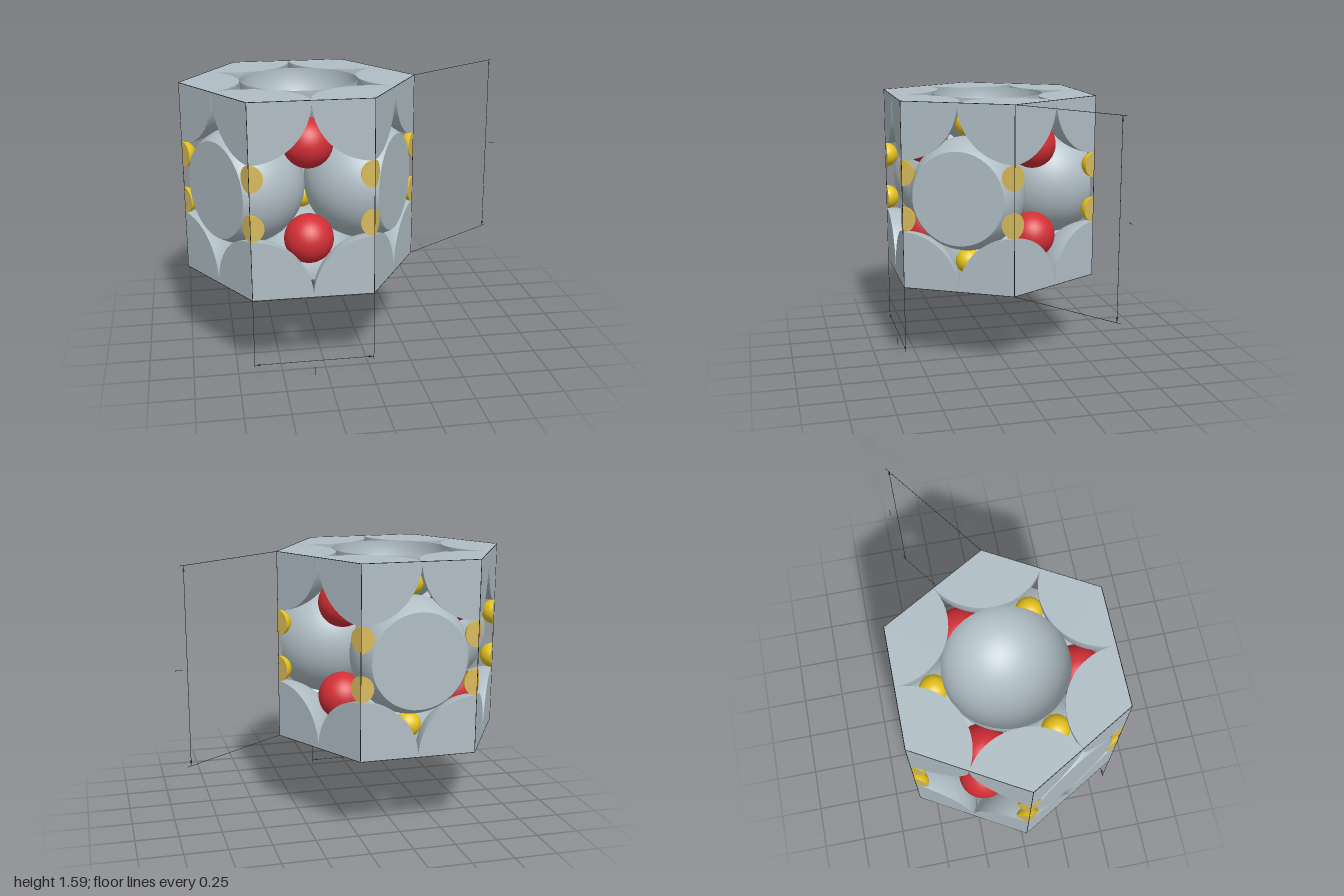
import * as THREE from 'three';

const A = 0.677;                    // hexagon side
const C = 1.105;                    // prism height
const R = A / 2;                    // large sphere radius
const APOTHEM = A * Math.sqrt(3) / 2;
const SITE = A / Math.sqrt(3);      // distance of the inner sites from the axis
const CX = -0.323, Y0 = 0.48;       // axis position and prism base
const PI = Math.PI;

function mat(name, color) {
  const m = new THREE.MeshStandardMaterial({ color, side: THREE.DoubleSide });
  m.name = name;
  return m;
}

export function createModel() {
  const grey = mat('blueGrey', 0xb0bec5);
  const red = mat('red', 0xd32f36);
  const yellow = mat('yellow', 0xe6c41c);
  const paleYellow = mat('paleYellow', 0xd9bb5c);
  const black = mat('black', 0x1c1c1c);

  const model = new THREE.Group();
  model.name = 'hexagonalCell';
  const cell = new THREE.Group();
  cell.name = 'cell';
  cell.position.set(CX, Y0, 0);
  model.add(cell);

  const add = (parent, name, geometry, material, x = 0, y = 0, z = 0) => {
    const mesh = new THREE.Mesh(geometry, material);
    mesh.name = name;
    mesh.position.set(x, y, z);
    parent.add(mesh);
    return mesh;
  };

  // Group turned about the cell axis; its local +x points outward
  const spoke = (name, degrees) => {
    const g = new THREE.Group();
    g.name = name;
    g.rotation.y = THREE.MathUtils.degToRad(degrees);
    cell.add(g);
    return g;
  };

  // 120 degree piece of a sphere opening towards the axis, with flat cut faces
  const wedge = (parent, name, r, y, t0, tLen, skin, cut) => {
    const g = new THREE.Group();
    g.name = name;
    g.position.set(A, y, 0);
    parent.add(g);
    add(g, name + 'Round', new THREE.SphereGeometry(r, 24, 24, -PI / 3, 2 * PI / 3, t0, tLen), skin);
    for (const s of [1, -1]) {
      const side = new THREE.CircleGeometry(r, 32, PI / 2 - t0 - tLen, tLen).rotateY(s * 2 * PI / 3);
      add(g, name + 'SideCut', side, cut);
    }
    if (tLen < PI) {
      const up = t0 > 0 ? -1 : 1;
      const flat = new THREE.CircleGeometry(r, 32, 2 * PI / 3, 2 * PI / 3).rotateX(up * PI / 2);
      add(g, name + 'EndCut', flat, cut);
    }
  };

  // Corners: large sphere wedges at both ends, small ones along the edges
  for (let i = 0; i < 6; i++) {
    const g = spoke('corner', i * 60);
    wedge(g, 'bottomCornerSphere', R, 0, 0, PI / 2, grey, grey);
    wedge(g, 'topCornerSphere', R, C, PI / 2, PI / 2, grey, grey);
    for (const f of [3 / 8, 5 / 8]) {
      wedge(g, 'smallEdgeSphere', R * 0.225, C * f, 0, PI, yellow, paleYellow);
    }
  }

  // Open hemispherical bowls in the middle of both ends
  add(cell, 'bottomBowl', new THREE.SphereGeometry(R, 48, 20, 0, 2 * PI, 0, PI / 2), grey);
  add(cell, 'topBowl', new THREE.SphereGeometry(R, 48, 20, 0, 2 * PI, PI / 2, PI / 2), grey, 0, C);

  const smallSphere = new THREE.SphereGeometry(R * 0.225, 24, 16);
  const redSphere = new THREE.SphereGeometry(R * 0.414, 32, 20);
  for (const f of [3 / 8, 5 / 8]) add(cell, 'smallAxisSphere', smallSphere, yellow, 0, C * f);

  // Middle layer: three large spheres cut flat by the side faces
  const cutX = APOTHEM - SITE;
  const cutAngle = Math.acos(cutX / R);
  const cutSphere = new THREE.SphereGeometry(R, 48, 32, 0, 2 * PI, cutAngle, PI - cutAngle).rotateZ(-PI / 2);
  const cutDisk = new THREE.CircleGeometry(R * Math.sin(cutAngle), 48).rotateY(PI / 2);
  for (const deg of [-30, -150, 90]) {
    const g = spoke('middleSite', deg);
    add(g, 'middleSphere', cutSphere, grey, SITE, C / 2);
    add(g, 'middleSphereCut', cutDisk, grey, APOTHEM, C / 2);
    for (const f of [1 / 8, 7 / 8]) add(g, 'smallInnerSphere', smallSphere, yellow, SITE, C * f);
  }

  // Red spheres in the remaining gaps
  for (const deg of [-90, 30, 150]) {
    const g = spoke('gapSite', deg);
    for (const f of [1 / 4, 3 / 4]) add(g, 'redSphere', redSphere, red, SITE, C * f);
  }

  // Thin round bar, or cone when endRadius is 0, between two points
  const V = (x, y, z) => new THREE.Vector3(x, y, z);
  const bar = (parent, name, p, q, r = 0.002, endRadius = r) => {
    const d = q.clone().sub(p);
    const mesh = add(parent, name, new THREE.CylinderGeometry(endRadius, r, d.length(), 6), black);
    mesh.position.copy(p).add(q).multiplyScalar(0.5);
    mesh.quaternion.setFromUnitVectors(V(0, 1, 0), d.normalize());
  };

  // Prism outline
  const corner = (i, y) => V(A * Math.cos(i * PI / 3), y, A * Math.sin(i * PI / 3));
  for (let i = 0; i < 6; i++) {
    bar(cell, 'uprightEdge', corner(i, 0), corner(i, C));
    for (const y of [0, C]) bar(cell, 'endEdge', corner(i, y), corner(i + 1, y));
  }

  // Dimension line with an arrowhead at each end
  const dimension = (name, p, q) => {
    bar(model, name, p, q, 0.0015);
    const d = q.clone().sub(p).normalize().multiplyScalar(0.03);
    bar(model, name + 'Arrow', p.clone().add(d), p, 0.006, 0);
    bar(model, name + 'Arrow', q.clone().sub(d), q, 0.006, 0);
  };

  // Width dimension below the front face
  const xl = CX - A / 2, xr = CX + A / 2;
  for (const x of [xl, xr]) {
    bar(model, 'widthExtension', V(x, Y0, APOTHEM), V(x, 0.075, APOTHEM), 0.0015);
  }
  dimension('widthLine', V(xl, 0.09, APOTHEM), V(xr, 0.09, APOTHEM));
  bar(model, 'widthMark', V(CX, 0.05, APOTHEM), V(CX, 0, APOTHEM), 0.0015);

  // Height dimension beside the right corner
  for (const y of [Y0, Y0 + C]) {
    bar(model, 'heightExtension', V(CX + A, y, 0), V(0.95, y, -0.425), 0.0015);
  }
  dimension('heightLine', V(0.93, Y0, -0.41), V(0.93, Y0 + C, -0.41));
  bar(model, 'heightMark', V(0.96, Y0 + C / 2, -0.45), V(1, Y0 + C / 2, -0.45), 0.0015);

  return model;
}
